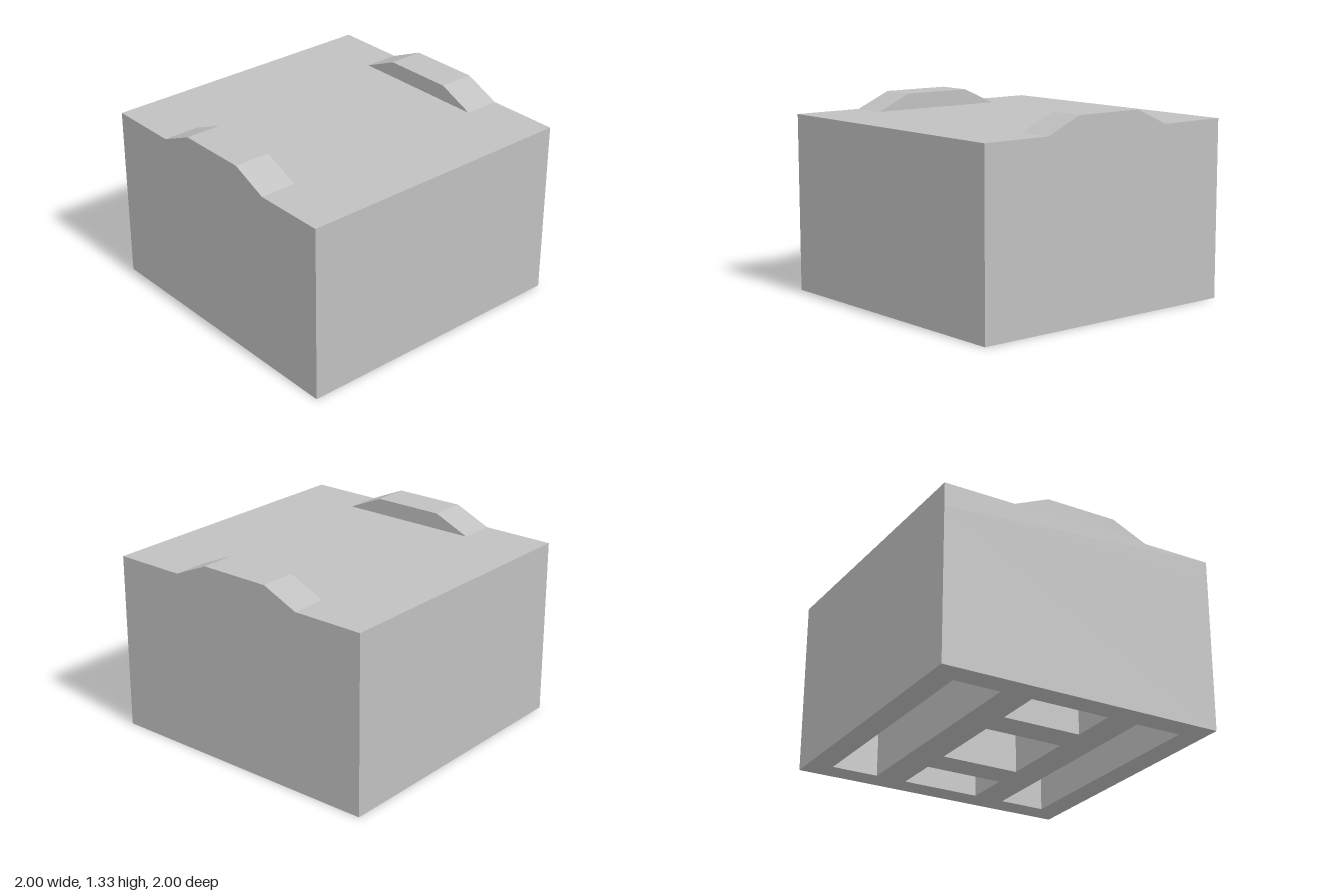
import * as THREE from 'three';

const HEIGHT = 1.22, POCKET_TOP = 1.06;

// Closed outline of an axis-aligned rectangle
function rectangle(PathType, x0, x1, z0, z1) {
  const path = new PathType();
  path.moveTo(x0, z0);
  path.lineTo(x1, z0);
  path.lineTo(x1, z1);
  path.lineTo(x0, z1);
  path.closePath();
  return path;
}

export function createModel() {
  const group = new THREE.Group();
  const grey = new THREE.MeshStandardMaterial({ color: 0xc0c0c0 });
  grey.name = 'light grey';

  const add = (name, geometry) => {
    const mesh = new THREE.Mesh(geometry, grey);
    mesh.name = name;
    group.add(mesh);
    return mesh;
  };

  // Walls and ribs: a square block with five pockets open at the bottom
  const plan = rectangle(THREE.Shape, -1, 1, -1, 1);
  plan.holes.push(
    rectangle(THREE.Path, -0.83, 0.83, -0.83, -0.5),
    rectangle(THREE.Path, -0.83, 0.83, 0.5, 0.83),
    rectangle(THREE.Path, -0.83, -0.5, -0.28, 0.28),
    rectangle(THREE.Path, -0.28, 0.28, -0.28, 0.28),
    rectangle(THREE.Path, 0.5, 0.83, -0.28, 0.28)
  );
  const walls = new THREE.ExtrudeGeometry(plan, { depth: POCKET_TOP, bevelEnabled: false });
  add('ribbedBody', walls.rotateX(-Math.PI / 2));

  // Top slab closes the pockets
  const slab = add('topSlab', new THREE.BoxGeometry(2, HEIGHT - POCKET_TOP, 2));
  slab.position.y = (HEIGHT + POCKET_TOP) / 2;

  // Raised ridges with sloped ends along both side edges
  const profile = new THREE.Shape();
  profile.moveTo(-0.5, 0);
  profile.lineTo(0.5, 0);
  profile.lineTo(0.25, 0.11);
  profile.lineTo(-0.25, 0.11);
  profile.closePath();
  const ridge = new THREE.ExtrudeGeometry(profile, { depth: 0.25, bevelEnabled: false });
  ridge.rotateY(Math.PI / 2);
  add('leftRidge', ridge).position.set(0.75, HEIGHT, 0);
  add('rightRidge', ridge).position.set(-1, HEIGHT, 0);

  return group;
}
